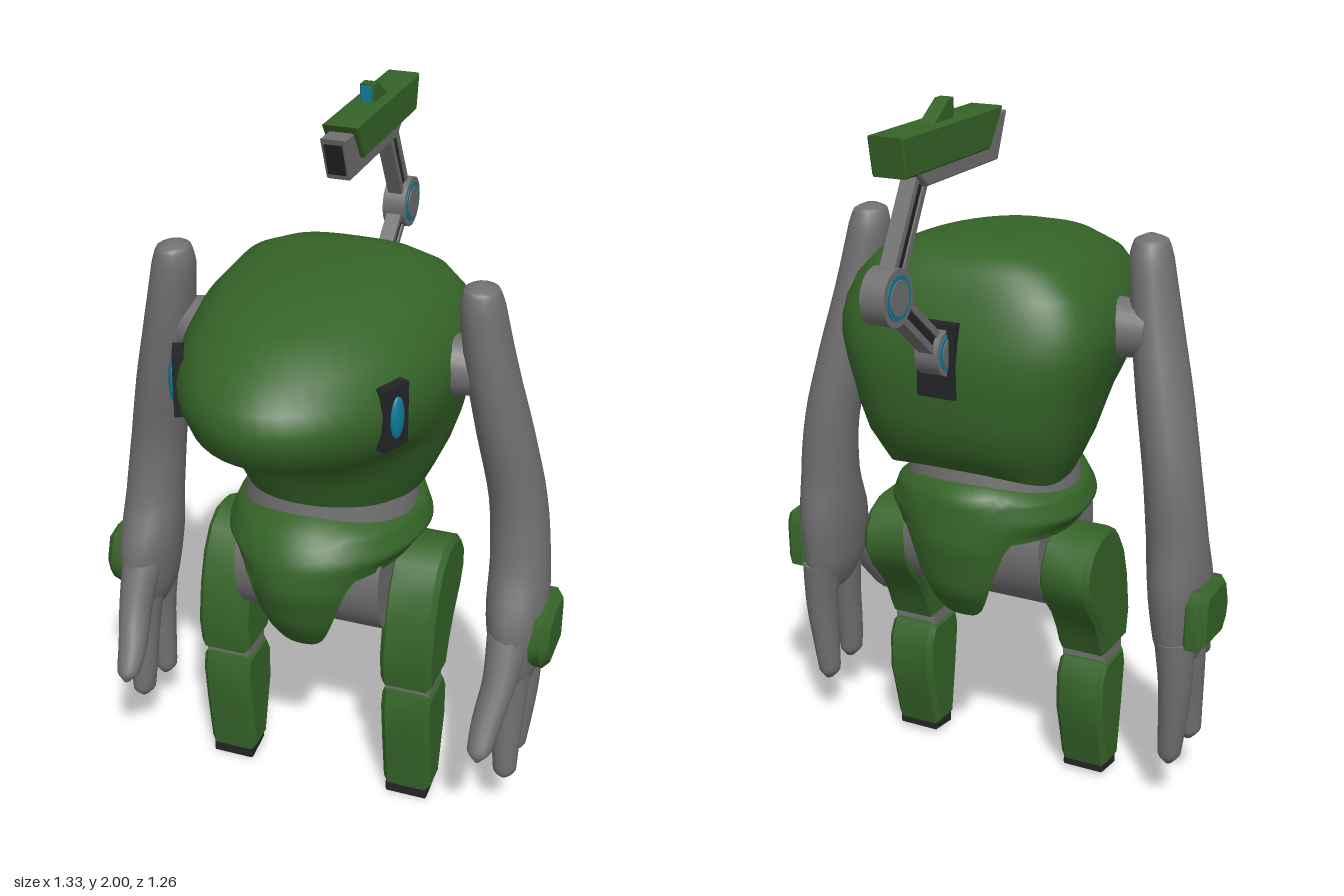
import * as THREE from 'three';
import { toCreasedNormals } from 'three/addons/utils/BufferGeometryUtils.js';

const mat = (color) => new THREE.MeshStandardMaterial({ color, side: THREE.DoubleSide });
const green = mat(0x356428), grey = mat(0x707070), dark = mat(0x222426), blue = mat(0x0c7a9a);

// Skin over closed rings listed from top to bottom, capped at both ends
function loft(rings) {
  const n = rings[0].length, pos = [], idx = [];
  rings.forEach((r) => r.forEach((p) => pos.push(...p)));
  for (let i = 0; i < rings.length - 1; i++) {
    for (let j = 0; j < n; j++) {
      const a = i * n + j, b = i * n + (j + 1) % n;
      idx.push(a, a + n, b + n, a, b + n, b);
    }
  }
  [0, rings.length - 1].forEach((i) => {
    const c = pos.length / 3;
    pos.push(...[0, 1, 2].map((k) => rings[i].reduce((s, p) => s + p[k], 0) / n));
    for (let j = 0; j < n; j++) {
      const a = i * n + j, b = i * n + (j + 1) % n;
      idx.push(c, ...(i === 0 ? [a, b] : [b, a]));
    }
  });
  const g = new THREE.BufferGeometry();
  g.setAttribute('position', new THREE.Float32BufferAttribute(pos, 3));
  g.setIndex(idx);
  return toCreasedNormals(g, 0.9);
}

const around = (n, f) => Array.from({ length: n }, (_, j) => f(j / n * Math.PI * 2));
const pow = (v, e) => Math.sign(v) * Math.abs(v) ** e;

// Piecewise linear lookup in [key, value] pairs with falling keys
function lookup(table, k) {
  for (let i = 1; i < table.length; i++) {
    const [k0, v0] = table[i - 1], [k1, v1] = table[i];
    if (k >= k1) return v0 + (v1 - v0) * Math.min(1, Math.max(0, (k0 - k) / (k0 - k1)));
  }
  return table[table.length - 1][1];
}

// Limb through [x, y, z, radiusX, radiusZ] stations, top to bottom
function limb(stations, steps) {
  const path = new THREE.CatmullRomCurve3(stations.map((s) => new THREE.Vector3(s[0], s[1], s[2])));
  const size = new THREE.CatmullRomCurve3(stations.map((s) => new THREE.Vector3(s[3], s[4], 0)));
  return loft(Array.from({ length: steps + 1 }, (_, i) => {
    const p = path.getPoint(i / steps), r = size.getPoint(i / steps);
    return around(16, (t) => [p.x + Math.abs(r.x) * Math.sin(t), p.y, p.z + Math.abs(r.y) * Math.cos(t)]);
  }));
}

// Bevelled slab with a (z, y) outline between x0 and x1
function slab(outline, x0, x1, bevel = 0.01) {
  const shape = new THREE.Shape(outline.map(([z, y]) => new THREE.Vector2(-z, y)));
  const g = new THREE.ExtrudeGeometry(shape, {
    depth: x1 - x0 - 2 * bevel, bevelThickness: bevel, bevelSize: bevel, bevelOffset: -bevel, bevelSegments: 1,
  });
  g.rotateY(Math.PI / 2).translate(x0 + bevel, 0, 0);
  return toCreasedNormals(g, 0.6);
}

const box = (w, h, d, x, y, z, rx = 0, ry = 0) =>
  new THREE.BoxGeometry(w, h, d).rotateX(rx).rotateY(ry).translate(x, y, z);
const axle = (r, w, x, y, z) =>
  new THREE.CylinderGeometry(r, r, w, 28).rotateZ(Math.PI / 2).translate(x, y, z);

// Reflection in x with the corner order restored
function mirrored(geo) {
  const g = geo.index ? geo.toNonIndexed() : geo.clone();
  g.scale(-1, 1, 1);
  for (const a of Object.values(g.attributes)) {
    const s = a.itemSize;
    for (let i = 0; i < a.count; i += 3) {
      for (let k = 0; k < s; k++) {
        const p = (i + 1) * s + k, q = (i + 2) * s + k, v = a.array[p];
        a.array[p] = a.array[q];
        a.array[q] = v;
      }
    }
  }
  return g;
}

export function createModel() {
  const model = new THREE.Group();
  const add = (name, geo, m) => {
    const mesh = new THREE.Mesh(geo, m);
    mesh.name = name;
    model.add(mesh);
  };
  const pair = (name, geo, m) => {
    add('left' + name, geo, m);
    add('right' + name, mirrored(geo), m);
  };

  // Torso and head shell: height, half width, back z, front z
  const shell = [
    [1.613, 0.04, -0.07, 0.06], [1.609, 0.11, -0.14, 0.15], [1.593, 0.2, -0.2, 0.28], [1.56, 0.28, -0.24, 0.41],
    [1.5, 0.335, -0.27, 0.545], [1.44, 0.365, -0.29, 0.61], [1.39, 0.376, -0.305, 0.632], [1.34, 0.374, -0.315, 0.622],
    [1.28, 0.36, -0.315, 0.585], [1.24, 0.348, -0.312, 0.52], [1.205, 0.338, -0.308, 0.42], [1.16, 0.328, -0.302, 0.345],
    [1.08, 0.302, -0.285, 0.308], [1.02, 0.275, -0.255, 0.285], [0.97, 0.25, -0.23, 0.27],
  ];
  add('torsoShell', loft(shell.map(([y, w, zb, zf]) => around(56, (t) => {
    const s = Math.sin(t), c = Math.cos(t), front = c > 0, e = front ? 1 : 2 / 3;
    const mid = -0.05, lift = y < 1.1 ? 0.04 * (1.1 - y) / 0.13 * c * c : 0;
    return [w * pow(s, e), y + lift, mid + (front ? zf - mid : mid - zb) * pow(c, e)];
  }))), green);

  // Eyes on the sides of the head
  const turn = -0.41;
  pair('EyeSocket', box(0.03, 0.17, 0.085, 0.286, 1.375, 0.372, 0, turn), dark);
  pair('EyeLens', new THREE.SphereGeometry(1, 16, 12).scale(0.012, 0.058, 0.024)
    .rotateY(turn).translate(0.3, 1.375, 0.378), blue);

  // Waist and hips
  add('waist', new THREE.CylinderGeometry(0.23, 0.25, 0.16, 40).translate(0, 0.95, 0.02), grey);
  add('hipDrum', axle(0.19, 0.42, 0, 0.74, 0.05), grey);

  // Pelvis armour: a belt that hangs down in a flap at front and back
  const wide = [[0.97, 0.22], [0.94, 0.26], [0.87, 0.282], [0.82, 0.25], [0.7, 0.23], [0.56, 0.2]];
  const fore = [[0.97, 0.25], [0.94, 0.32], [0.87, 0.37], [0.78, 0.38], [0.65, 0.335], [0.56, 0.27]];
  const aft = [[0.97, 0.22], [0.94, 0.255], [0.8, 0.27], [0.65, 0.24], [0.56, 0.18]];
  const belt = Array.from({ length: 15 }, (_, i) => around(80, (t) => {
    const c = Math.cos(t), top = 0.935 + 0.035 * c * c;
    const bottom = 0.81 - 0.25 * THREE.MathUtils.smoothstep(Math.abs(c), 0.76, 1);
    const y = top + (bottom - top) * i / 14, k = y + (0.97 - top) * (1 - i / 14);
    return [lookup(wide, k) * Math.sin(t), y, lookup(c > 0 ? fore : aft, k) * c];
  }));
  // Underside turns inward to the hip drum
  belt.push(belt[14].map(([x, y, z]) => [x * 0.8, y + 0.04, z * 0.75]));
  add('pelvisArmour', loft(belt), green);

  // Legs
  const thigh = [[0.18, 0.41], [0.195, 0.5], [0.175, 0.62], [0.145, 0.71], [0.1, 0.775], [0.04, 0.81], [-0.03, 0.808],
    [-0.09, 0.78], [-0.125, 0.73], [-0.13, 0.67], [-0.1, 0.61], [-0.04, 0.54], [0, 0.47], [0.025, 0.41]];
  const shin = [[0.145, 0.03], [0.17, 0.2], [0.185, 0.33], [0.17, 0.385], [0.03, 0.385], [0, 0.33], [0, 0.22], [0.02, 0.15],
    [0.05, 0.035]];
  pair('Thigh', slab(thigh, 0.2, 0.352, 0.015), green);
  pair('Knee', box(0.13, 0.08, 0.12, 0.275, 0.395, 0.1), grey);
  pair('Shin', slab(shin, 0.203, 0.348, 0.015), green);
  pair('Foot', slab([[0.145, 0], [0.145, 0.035], [0.05, 0.04], [0.05, 0.015]], 0.212, 0.338, 0.004), dark);

  // Arms, hands and wrist guards
  pair('Shoulder', new THREE.CylinderGeometry(0.07, 0.085, 0.12, 24)
    .rotateZ(-Math.PI / 2).translate(0.385, 1.38, 0.05), grey);
  pair('Arm', limb([
    [0.42, 1.63, 0.085, 0.015, 0.018], [0.422, 1.615, 0.085, 0.045, 0.052], [0.425, 1.57, 0.082, 0.058, 0.066],
    [0.452, 1.4, 0.068, 0.068, 0.08], [0.492, 1.2, 0.042, 0.076, 0.088], [0.53, 1.0, 0.017, 0.078, 0.088],
    [0.548, 0.82, 0.025, 0.082, 0.1], [0.555, 0.66, 0.05, 0.082, 0.14], [0.56, 0.53, 0.055, 0.068, 0.13],
    [0.565, 0.46, 0.055, 0.045, 0.1], [0.565, 0.43, 0.055, 0.015, 0.06],
  ], 40), grey);
  [
    ['Thumb', [[0.552, 0.64, 0.12, 0.06, 0.07], [0.55, 0.52, 0.19, 0.048, 0.055], [0.535, 0.42, 0.255, 0.042, 0.045],
      [0.53, 0.355, 0.3, 0.034, 0.035], [0.53, 0.33, 0.31, 0.01, 0.018]]],
    ['FrontFinger', [[0.56, 0.54, 0.1, 0.055, 0.065], [0.565, 0.4, 0.115, 0.046, 0.052], [0.565, 0.25, 0.135, 0.038, 0.042],
      [0.567, 0.18, 0.14, 0.033, 0.038], [0.567, 0.155, 0.138, 0.012, 0.018]]],
    ['RearFinger', [[0.565, 0.54, -0.01, 0.055, 0.07], [0.572, 0.4, -0.01, 0.046, 0.054], [0.565, 0.25, -0.003, 0.038, 0.042],
      [0.56, 0.17, 0, 0.032, 0.035], [0.56, 0.145, 0, 0.012, 0.018]]],
  ].forEach(([name, path]) => pair(name, limb(path, 16), grey));
  pair('WristGuard', slab([[0.125, 0.69], [0.06, 0.705], [-0.04, 0.7], [-0.058, 0.66], [-0.055, 0.53], [0.1, 0.52],
    [0.14, 0.56], [0.152, 0.61]], 0.59, 0.665, 0.02), green);

  // Folding arm on the back
  add('backSlot', box(0.11, 0.2, 0.06, 0, 1.34, -0.29), dark);
  const strut = (name, [z0, y0], [z1, y1]) => {
    const len = Math.hypot(z1 - z0, y1 - y0), tilt = Math.atan2(z1 - z0, y1 - y0);
    const mid = [(y0 + y1) / 2, (z0 + z1) / 2];
    add(name + 'Core', box(0.032, len, 0.03, 0, ...mid, tilt), dark);
    [-1, 1].forEach((s) => add(name + 'Rail', box(0.042, len, 0.018, 0,
      mid[0] - s * 0.022 * Math.sin(tilt), mid[1] + s * 0.022 * Math.cos(tilt), tilt), grey));
  };
  const base = [-0.31, 1.365], elbow = [-0.56, 1.57], mount = [-0.41, 1.83];
  strut('lowerStrut', base, elbow);
  strut('upperStrut', elbow, mount);
  [['base', base, 0.062], ['elbow', elbow, 0.072]].forEach(([name, [z, y], r]) => {
    add(name + 'Joint', axle(r, 0.066, 0, y, z), grey);
    add(name + 'Ring', axle(r * 0.78, 0.071, 0, y, z), blue);
    add(name + 'Hub', axle(r * 0.62, 0.076, 0, y, z), grey);
  });

  // Sensor pod on top
  add('podBody', slab([[0.02, 1.93], [-0.03, 1.81], [-0.41, 1.81], [-0.48, 1.87], [-0.48, 1.93]], -0.034, 0.034, 0.004), grey);
  add('podOpening', slab([[0.021, 1.915], [-0.016, 1.826], [-0.05, 1.826], [-0.05, 1.915]], -0.024, 0.024, 0.001), dark);
  add('podCover', slab([[-0.03, 1.95], [-0.1, 1.85], [-0.535, 1.85], [-0.555, 1.95]], -0.048, 0.048, 0.005), green);
  add('sight', slab([[-0.245, 1.94], [-0.245, 2], [-0.275, 2], [-0.355, 1.95], [-0.355, 1.94]], -0.02, 0.02, 0.003), green);
  add('sightLens', box(0.03, 0.04, 0.01, 0, 1.973, -0.243), blue);
  return model;
}
